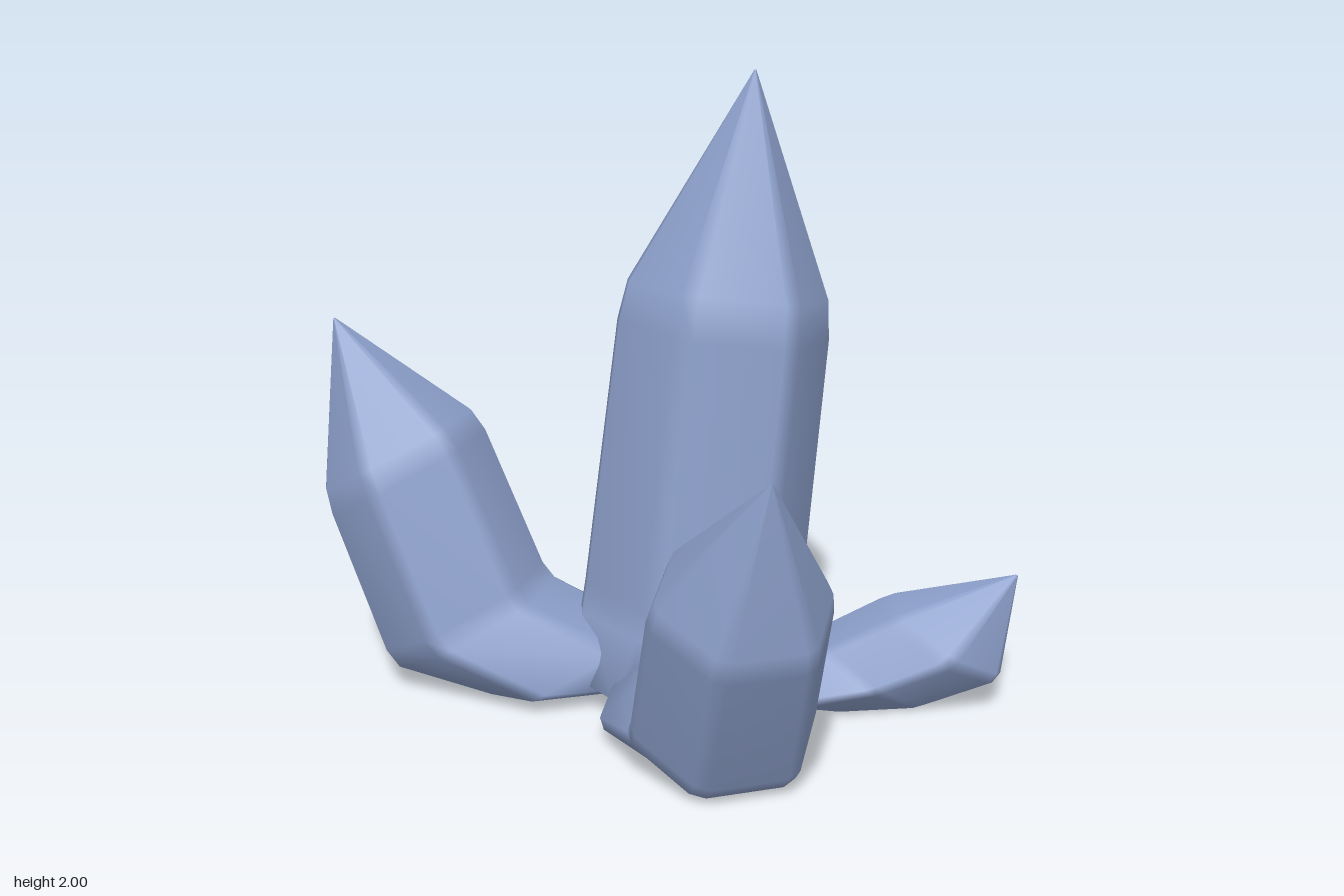
import * as THREE from 'three';

const crystalBlue = new THREE.MeshStandardMaterial({ color: 0x8c9fca });
crystalBlue.name = 'crystalBlue';

const SIDES = 6, BEVEL = 0.09; // each corner is split in two by a narrow bevel

// Six-sided crystal lofted from rings: tip, shoulder, base, root and a narrow foot at the centre.
function crystal({ name, tip, shoulder, base, root, radius, baseRadius, tilt }) {
  const v = (p) => new THREE.Vector3(...p);
  const [t, s, b, r] = [tip, shoulder, base, root].map(v);
  const up = new THREE.Vector3(0, 1, 0);
  const lean = t.clone().sub(s).setY(0).normalize();
  if (name === 'centralCrystal') lean.set(1, 0, 0);
  const side = lean.clone().cross(up);
  const a = THREE.MathUtils.degToRad(tilt);
  const out = lean.clone().multiplyScalar(Math.cos(a)).addScaledVector(up, -Math.sin(a));

  const rings = [
    [t, 0.003],
    [s.clone().lerp(t, 0.09), radius * 0.945],
    [s.clone().lerp(b, 0.06), radius],
    [b.clone().lerp(s, 0.08), baseRadius],
    [b.clone().lerp(r, 0.08), baseRadius],
    [r, baseRadius * 0.97],
    [r.clone().multiplyScalar(0.4).setY(0.05), baseRadius * 0.5],
  ];
  const positions = [], index = [], n = SIDES * 2;
  for (const [centre, rad] of rings) {
    for (let i = 0; i < n; i++) {
      const ang = Math.floor(i / 2) * Math.PI / 3 + (i % 2 ? BEVEL : -BEVEL);
      const p = centre.clone()
        .addScaledVector(side, Math.cos(ang) * rad * 0.98)
        .addScaledVector(out, Math.sin(ang) * rad * 0.98);
      positions.push(p.x, Math.max(0, p.y), p.z); // rest flat on the ground
    }
  }
  for (let j = 0; j < rings.length - 1; j++) {
    for (let i = 0; i < n; i++) {
      const k = (i + 1) % n;
      const p = j * n + i, q = (j + 1) * n + i, u = (j + 1) * n + k, w = j * n + k;
      index.push(p, q, u, p, u, w);
    }
  }
  // Close the foot
  const last = (rings.length - 1) * n;
  for (let i = 1; i < n - 1; i++) index.push(last, last + i + 1, last + i);

  const geometry = new THREE.BufferGeometry();
  geometry.setAttribute('position', new THREE.Float32BufferAttribute(positions, 3));
  geometry.setIndex(index);
  geometry.computeVertexNormals();
  const mesh = new THREE.Mesh(geometry, crystalBlue);
  mesh.name = name;
  return mesh;
}

export function createModel() {
  const group = new THREE.Group();
  group.name = 'crystalCluster';
  const parts = [
    { name: 'centralCrystal', tip: [0.32, 2, -0.06], shoulder: [0.21, 1.24, -0.065],
      base: [0.07, 0.24, -0.065], root: [-0.03, 0.04, -0.065], radius: 0.35, baseRadius: 0.365, tilt: 8 },
    { name: 'frontRightCrystal', tip: [-0.43, 1.04, 0.94], shoulder: [-0.35, 0.6, 0.72],
      base: [-0.25, 0.13, 0.51], root: [-0.18, 0.06, 0.24], radius: 0.28, baseRadius: 0.29, tilt: 24 },
    { name: 'backRightCrystal', tip: [-0.76, 1.2, -0.89], shoulder: [-0.62, 0.73, -0.71],
      base: [-0.5, 0.21, -0.53], root: [-0.27, 0.06, -0.3], radius: 0.29, baseRadius: 0.3, tilt: 29 },
    { name: 'backLeftCrystal', tip: [0.83, 0.61, -0.83], shoulder: [0.65, 0.32, -0.67],
      base: [0.48, 0.12, -0.49], root: [0.23, 0.07, -0.32], radius: 0.25, baseRadius: 0.25, tilt: 29 },
    { name: 'frontLeftCrystal', tip: [0.82, 0.42, 0.68], shoulder: [0.63, 0.2, 0.53],
      base: [0.46, 0.1, 0.39], root: [0.25, 0.06, 0.25], radius: 0.23, baseRadius: 0.215, tilt: 31 },
  ];
  for (const part of parts) group.add(crystal(part));
  return group;
}
